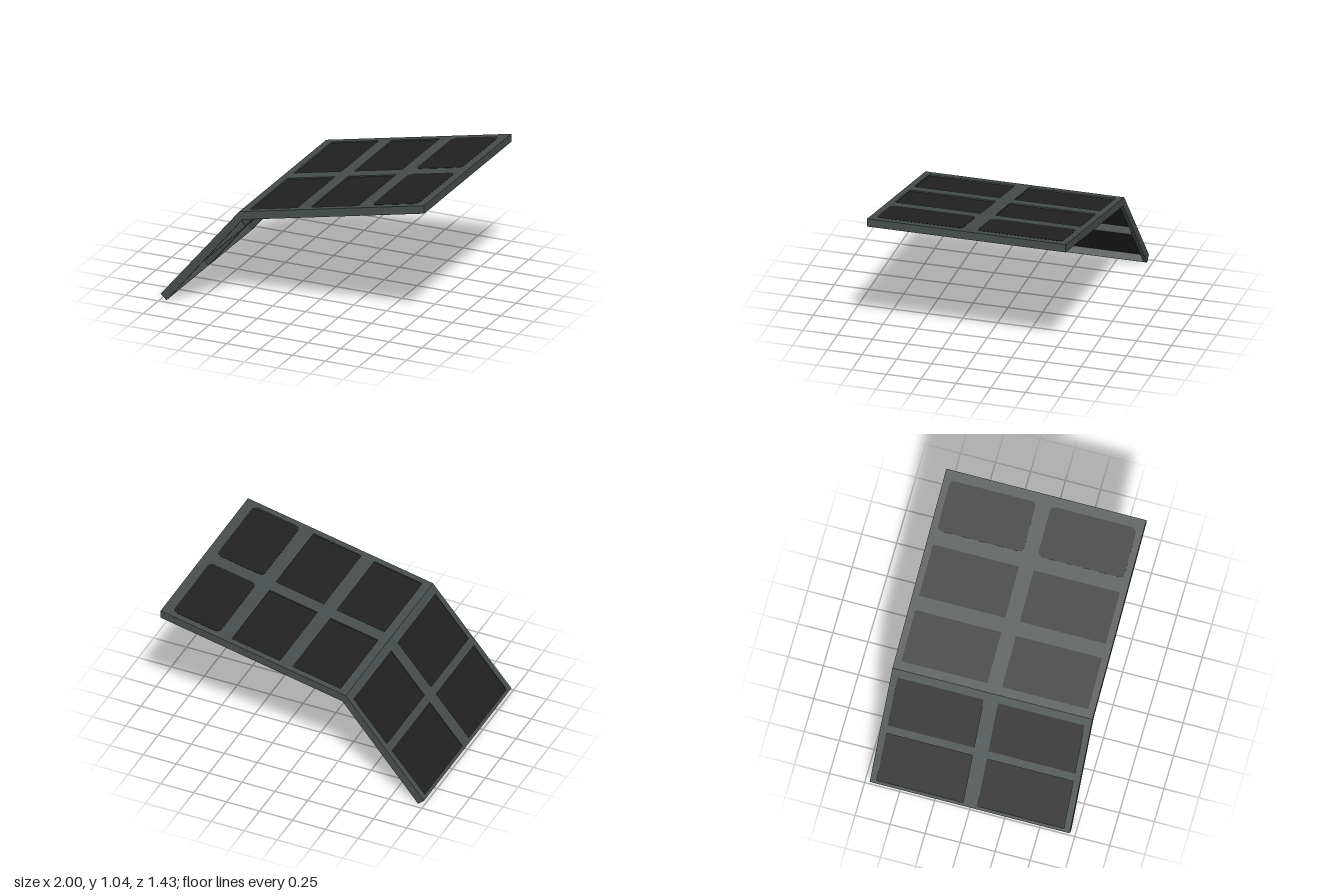
import * as THREE from 'three';

const frameMat = new THREE.MeshStandardMaterial({ color: 0x464d4c });
frameMat.name = 'dark grey frame';
const glassMat = new THREE.MeshStandardMaterial({ color: 0x212121 });
glassMat.name = 'black glass';

const HALF = 0.714;
// Each section runs between two end edges, given as [x, y] at top and bottom face
const bend = { top: [-0.405, 0.755], bottom: [-0.38, 0.7] };
const sections = [
  {
    name: 'roof', length: 1.43, flare: 0.015,
    start: bend, end: { top: [1, 1.044], bottom: [1, 0.985] },
    holes: [[0.043, 0.3], [0.371, 0.629]], pads: [[0.7, 0.951]],
  },
  {
    name: 'windscreen', length: 0.92, flare: 0.022,
    start: { top: [-1, 0.04], bottom: [-0.955, 0] }, end: bend,
    holes: [[0.026, 0.442], [0.51, 0.932]], pads: [],
  },
];

// Rectangles on both sides of the centre bar
function panes(section, spans) {
  return spans.flatMap(([a, b]) => [[0.052, 0.667], [-0.667, -0.052]].map(([y0, y1]) => (
    { x0: a * section.length, x1: b * section.length, y0, y1 })));
}

function outline({ x0, x1, y0, y1 }, r, PathType) {
  const p = new PathType();
  if (r === 0) {
    p.moveTo(x0, y0); p.lineTo(x1, y0); p.lineTo(x1, y1); p.lineTo(x0, y1);
  } else {
    p.absarc(x1 - r, y0 + r, r, -Math.PI / 2, 0);
    p.absarc(x1 - r, y1 - r, r, 0, Math.PI / 2);
    p.absarc(x0 + r, y1 - r, r, Math.PI / 2, Math.PI);
    p.absarc(x0 + r, y0 + r, r, Math.PI, Math.PI * 1.5);
  }
  p.closePath();
  return p;
}

// Extrude a flat shape, then lay it onto the sloping section (t: 0 underside, 1 top)
function layOn(section, shape, t0, t1, holes = []) {
  const geo = new THREE.ExtrudeGeometry(shape, { depth: 1, bevelEnabled: false, curveSegments: 6 });
  const pos = geo.attributes.position;
  const { start, end, length, flare } = section;
  const mix = THREE.MathUtils.lerp;
  for (let i = 0; i < pos.count; i++) {
    let x = pos.getX(i), y = pos.getY(i);
    const t = mix(t0, t1, pos.getZ(i));
    // Openings widen toward the underside, so the bars taper
    const e = 1e-4;
    const h = holes.find((q) => x > q.x0 - e && x < q.x1 + e && y > q.y0 - e && y < q.y1 + e);
    if (h) {
      x += Math.sign(x - (h.x0 + h.x1) / 2) * flare * (1 - t);
      y += Math.sign(y - (h.y0 + h.y1) / 2) * flare * (1 - t);
    }
    const u = x / length;
    const at = (k) => mix(mix(start.bottom[k], start.top[k], t), mix(end.bottom[k], end.top[k], t), u);
    pos.setXYZ(i, at(0), at(1), -y);
  }
  geo.computeVertexNormals();
  return geo;
}

function buildSection(section) {
  const group = new THREE.Group();
  group.name = section.name;
  const add = (name, geo, mat) => {
    const mesh = new THREE.Mesh(geo, mat);
    mesh.name = name;
    group.add(mesh);
  };

  // Frame with open bays
  const holes = panes(section, section.holes);
  const shape = outline({ x0: 0, x1: section.length, y0: -HALF, y1: HALF }, 0, THREE.Shape);
  shape.holes = holes.map((h) => outline(h, 0, THREE.Path));
  add(`${section.name}Frame`, layOn(section, shape, 0, 1, holes), frameMat);

  // Recessed glass, tucked slightly into the frame
  for (const h of holes) {
    const g = 0.006;
    const rect = { x0: h.x0 - g, x1: h.x1 + g, y0: h.y0 - g, y1: h.y1 + g };
    add(`${section.name}Glass`, layOn(section, outline(rect, 0, THREE.Shape), 0.76, 0.84), glassMat);
  }

  // Rounded dark panels on the closed end
  for (const p of panes(section, section.pads)) {
    add(`${section.name}RoundedPanel`, layOn(section, outline(p, 0.04, THREE.Shape), 0.93, 1.03), glassMat);
  }
  return group;
}

export function createModel() {
  const model = new THREE.Group();
  model.name = 'windowedCanopy';
  for (const section of sections) model.add(buildSection(section));
  return model;
}
